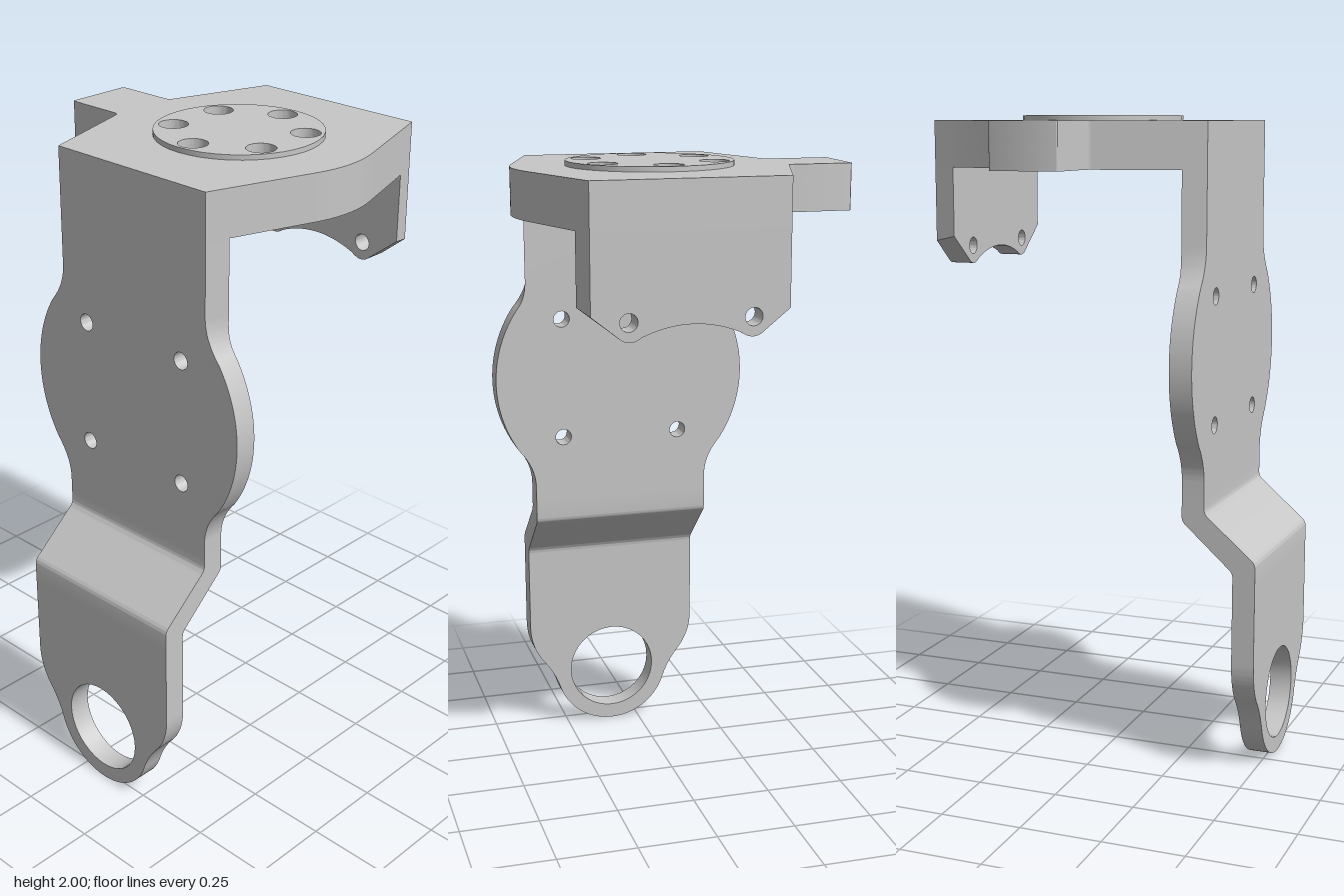
import * as THREE from 'three';
import { toCreasedNormals } from 'three/addons/utils/BufferGeometryUtils.js';

const CX = 0.092;    // centre line of the strap and top plate
const HALF = 0.287;  // half width of the strap
const HEAD_Z = -0.081;

const metal = new THREE.MeshStandardMaterial({ color: 0xc7c7c7 });
metal.name = 'light grey metal';

const addHole = (shape, x, y, r) => {
  const hole = new THREE.Path();
  hole.absarc(x, y, r, 0, Math.PI * 2, true);
  shape.holes.push(hole);
};

const extrude = (shape, depth) =>
  new THREE.ExtrudeGeometry(shape, { depth, bevelEnabled: false, curveSegments: 20 });

// Move vertices by a rule
function warp(geo, rule) {
  const p = geo.attributes.position;
  const v = new THREE.Vector3();
  for (let i = 0; i < p.count; i++) {
    v.fromBufferAttribute(p, i);
    rule(v);
    p.setXYZ(i, v.x, v.y, v.z);
  }
  return geo;
}

function part(name, geo) {
  const mesh = new THREE.Mesh(toCreasedNormals(geo, 0.5), metal);
  mesh.name = name;
  return mesh;
}

// Upper strap with the round mounting lobe
function upperStrap() {
  const s = new THREE.Shape();
  const y0 = 1.275, r = 0.41, a = 0.6;
  const ax = r * Math.cos(a), ay = r * Math.sin(a);
  s.moveTo(CX - HALF, 0.87);
  s.lineTo(CX + HALF, 0.87);
  s.lineTo(CX + HALF, 0.92);
  s.quadraticCurveTo(CX + HALF, 0.985, CX + ax, y0 - ay);
  s.absarc(CX, y0, r, -a, a, false);
  s.quadraticCurveTo(CX + HALF, 1.565, CX + HALF, 1.63);
  s.lineTo(CX + HALF, 1.845);
  s.lineTo(CX - HALF, 1.845);
  s.lineTo(CX - HALF, 1.63);
  s.quadraticCurveTo(CX - HALF, 1.565, CX - ax, y0 + ay);
  s.absarc(CX, y0, r, Math.PI - a, Math.PI + a, false);
  s.quadraticCurveTo(CX - HALF, 0.985, CX - HALF, 0.92);
  for (const sx of [-1, 1]) for (const y of [1.083, 1.472]) addHole(s, CX + sx * 0.193, y, 0.026);
  const geo = extrude(s, 0.07).translate(0, 0, 0.288);
  // the back edge near the top flares smoothly to follow the top plate
  return part('upperStrap', warp(geo, (v) => {
    const d = v.x - CX;
    if (v.z < 0.3 && Math.abs(d) > 0.25) {
      v.x += Math.sign(d) * 0.022 * THREE.MathUtils.smoothstep(v.y, 1.5, 1.63);
    }
  }));
}

// Slanted step joining the two strap planes
function strapStep() {
  const s = new THREE.Shape();
  s.moveTo(-0.358, 0.87);
  s.lineTo(-0.358, 0.845);
  s.quadraticCurveTo(-0.358, 0.829, -0.37, 0.819);
  s.lineTo(-0.508, 0.699);
  s.quadraticCurveTo(-0.52, 0.69, -0.52, 0.672);
  s.lineTo(-0.52, 0.62);
  s.lineTo(-0.45, 0.62);
  s.lineTo(-0.45, 0.64);
  s.quadraticCurveTo(-0.45, 0.654, -0.439, 0.664);
  s.lineTo(-0.3, 0.79);
  s.quadraticCurveTo(-0.288, 0.8, -0.288, 0.815);
  s.lineTo(-0.288, 0.87);
  return part('strapStep', extrude(s, HALF * 2).rotateY(Math.PI / 2).translate(CX - HALF, 0, 0));
}

// Lower strap ending in a ring
function lowerStrap() {
  const s = new THREE.Shape();
  const y0 = 0.197, r = 0.195, a = -0.3;
  const rx = r * Math.cos(a), ry = y0 + r * Math.sin(a);
  s.moveTo(CX + HALF, 0.62);
  s.lineTo(CX - HALF, 0.62);
  s.lineTo(CX - HALF, 0.37);
  s.quadraticCurveTo(CX - HALF, 0.3, CX - 0.247, 0.245);
  s.quadraticCurveTo(CX - 0.205, 0.195, CX - rx, ry);
  s.absarc(CX, y0, r, Math.PI - a, Math.PI * 2 + a, false);
  s.quadraticCurveTo(CX + 0.205, 0.195, CX + 0.247, 0.245);
  s.quadraticCurveTo(CX + HALF, 0.3, CX + HALF, 0.37);
  addHole(s, CX, y0, 0.146);
  return part('lowerStrap', extrude(s, 0.07).translate(0, 0, 0.45));
}

// Six screw holes in a ring; shape y is -z
function addScrewHoles(s, r) {
  for (let i = 0; i < 6; i++) {
    const a = Math.PI / 2 + 0.02 + (i * Math.PI) / 3;
    addHole(s, CX + 0.194 * Math.cos(a), -HEAD_Z + 0.194 * Math.sin(a), r);
  }
}

// One layer of the top plate, with the side arm
function plateLayer(name, y, height, holeRadius) {
  const s = new THREE.Shape();
  s.moveTo(CX - HALF, -0.358);
  s.lineTo(CX + HALF, -0.358);
  s.lineTo(0.484, -0.035);
  s.quadraticCurveTo(0.522, -HEAD_Z, 0.484, 0.2);
  s.lineTo(CX + HALF, 0.52);
  s.lineTo(CX - HALF, 0.52);
  s.lineTo(-0.297, 0.207);
  s.quadraticCurveTo(-0.302, 0.19, -0.32, 0.19);
  s.lineTo(-0.495, 0.19);
  s.quadraticCurveTo(-0.503, 0.19, -0.503, 0.182);
  s.lineTo(-0.503, -0.016);
  s.quadraticCurveTo(-0.503, -0.024, -0.495, -0.024);
  s.lineTo(-0.32, -0.024);
  s.quadraticCurveTo(-0.302, -0.024, -0.297, -0.041);
  addScrewHoles(s, holeRadius);
  return part(name, extrude(s, height).rotateX(-Math.PI / 2).translate(0, y, 0));
}

// Raised disc on the top plate
function raisedDisc() {
  const s = new THREE.Shape();
  s.absarc(CX, -HEAD_Z, 0.249, 0, Math.PI * 2, false);
  addScrewHoles(s, 0.044);
  return part('raisedDisc', extrude(s, 0.015).rotateX(-Math.PI / 2).translate(0, 1.985, 0));
}

// Rear flange with two screw lugs and a shallow arch
function rearFlange() {
  const s = new THREE.Shape();
  s.moveTo(CX + HALF, 1.845);
  s.lineTo(CX - HALF, 1.845);
  s.lineTo(CX - HALF, 1.62);
  s.lineTo(CX - 0.212, 1.56);
  s.quadraticCurveTo(CX - 0.18, 1.53, CX - 0.142, 1.558);
  s.quadraticCurveTo(CX, 1.618, CX + 0.142, 1.558);
  s.quadraticCurveTo(CX + 0.18, 1.53, CX + 0.212, 1.56);
  s.lineTo(CX + HALF, 1.62);
  for (const sx of [-1, 1]) addHole(s, CX + sx * 0.18, 1.6, 0.026);
  const geo = extrude(s, 0.072).translate(0, 0, -0.52);
  // sides flare towards the front like the plate above
  return part('rearFlange', warp(geo, (v) => {
    const d = v.x - CX;
    if (v.z > -0.5 && Math.abs(d) > 0.28) {
      v.x += Math.sign(d) * 0.023;
      if (v.y < 1.7) v.y += 0.016;
    }
  }));
}

export function createModel() {
  const model = new THREE.Group();
  model.name = 'bracket';
  model.add(
    upperStrap(), strapStep(), lowerStrap(),
    plateLayer('topPlateLower', 1.845, 0.075, 0.026),
    plateLayer('topPlateUpper', 1.92, 0.065, 0.044),
    raisedDisc(), rearFlange(),
  );
  return model;
}
